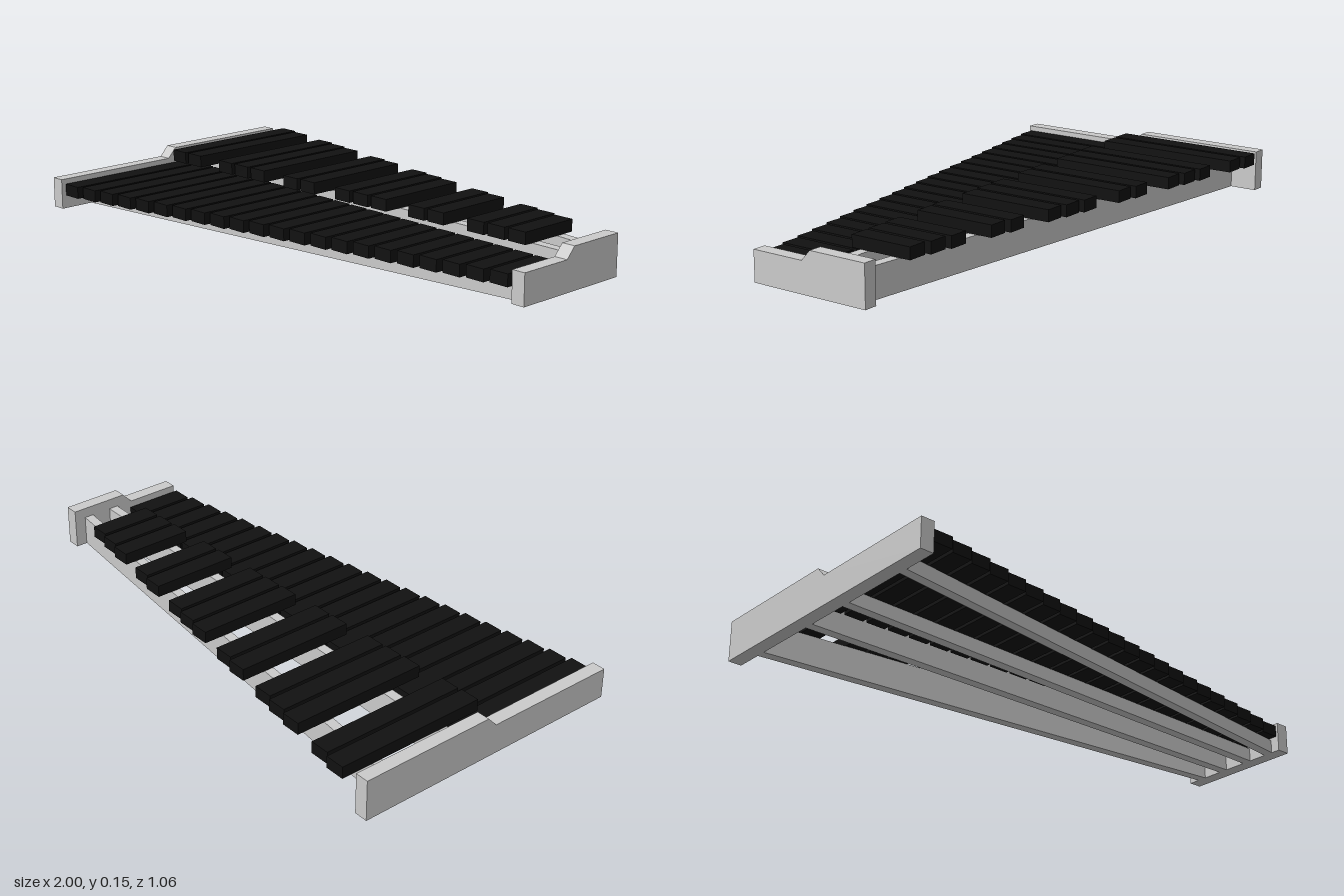
import * as THREE from 'three';

const grey = new THREE.MeshStandardMaterial({ color: 0xcccccc, flatShading: true });
const black = new THREE.MeshStandardMaterial({ color: 0x111111, flatShading: true });
const lerp = THREE.MathUtils.lerp;

export function createModel() {
  const group = new THREE.Group();
  const add = (name, geometry, material, parent = group) => {
    const mesh = new THREE.Mesh(geometry, material);
    mesh.name = name;
    parent.add(mesh);
    return mesh;
  };

  // End boards: stepped side profile extruded along x
  const endBoard = (name, x, front, slopeFront, slopeBack, back) => {
    const shape = new THREE.Shape([
      [-front, 0], [-back, 0], [-back, 0.148], [-slopeBack, 0.148], [-slopeFront, 0.11], [-front, 0.11],
    ].map(([a, b]) => new THREE.Vector2(a, b)));
    const geometry = new THREE.ExtrudeGeometry(shape, { depth: 0.05, bevelEnabled: false });
    geometry.rotateY(Math.PI / 2);
    add(name, geometry, grey).position.x = x;
  };
  endBoard('wideEndBoard', -1, 0.525, 0.025, -0.01, -0.515);
  endBoard('narrowEndBoard', 0.95, 0.2, -0.002, -0.037, -0.257);

  // Converging rails: boxes sheared so their ends meet the boards squarely
  const rail = (name, zLeft, zRight, height) => {
    const geometry = new THREE.BoxGeometry(1.9, height, 0.036);
    geometry.translate(0, height / 2, 0);
    const p = geometry.attributes.position;
    for (let i = 0; i < p.count; i++) {
      p.setZ(i, p.getZ(i) + lerp(zLeft, zRight, p.getX(i) / 1.9 + 0.5));
    }
    geometry.computeVertexNormals();
    add(name, geometry, grey);
  };
  rail('upperBackRail', -0.396, -0.196, 0.11);
  rail('upperFrontRail', -0.118, -0.084, 0.11);
  rail('lowerBackRail', 0.083, 0.038, 0.05);
  rail('lowerFrontRail', 0.377, 0.147, 0.05);

  // Tone bars, shortening towards the narrow end
  const bar = (parent, name, x, y, back, front) => {
    const mesh = add(name, new THREE.BoxGeometry(0.073, 0.043, front - back), black, parent);
    mesh.position.set(x, y + 0.0215, (front + back) / 2);
  };
  const row = (name) => {
    const g = new THREE.Group();
    g.name = name;
    group.add(g);
    return g;
  };

  // Lower row: 22 evenly spaced bars
  const lower = row('lowerBars');
  for (let i = 0; i < 22; i++) {
    const t = i / 21;
    bar(lower, 'lowerBar', lerp(-0.906, 0.899, t), 0.05, lerp(-0.061, -0.016, t), lerp(0.512, 0.203, t));
  }

  // Upper row: bars in groups of two and three, offset half a step
  const upper = row('upperBars');
  for (const k of [0, 1, 3, 4, 5, 7, 8, 10, 11, 12, 14, 15, 17, 18, 19]) {
    const t = k / 19;
    bar(upper, 'upperBar', lerp(-0.87, 0.766, t), 0.11, lerp(-0.531, -0.27, t), lerp(0.034, -0.035, t));
  }
  return group;
}
